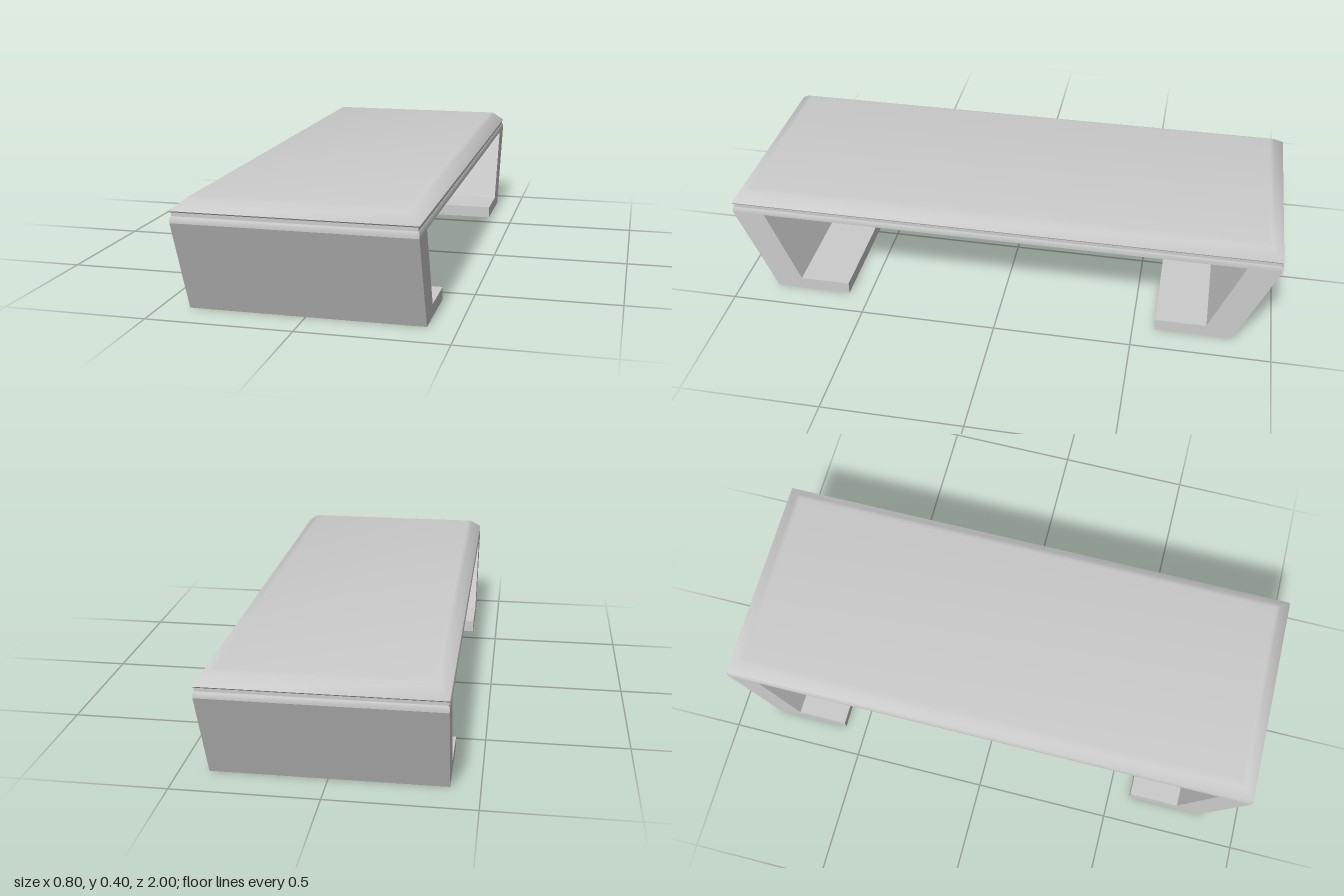
import * as THREE from 'three';
import { toCreasedNormals } from 'three/addons/utils/BufferGeometryUtils.js';

const grey = new THREE.MeshStandardMaterial({ color: 0xcccccc });

// Closed solid lofted through rectangles [halfX, y, halfZ], listed bottom to top
function loft(rings, crease) {
  const pos = [], index = [];
  for (const [x, y, z] of rings) pos.push(-x, y, z, x, y, z, x, y, -z, -x, y, -z);
  for (let r = 0; r < rings.length - 1; r++) {
    for (let i = 0; i < 4; i++) {
      const a = r * 4 + i, b = r * 4 + (i + 1) % 4;
      index.push(a, b, b + 4, a, b + 4, a + 4);
    }
  }
  const t = (rings.length - 1) * 4;
  index.push(0, 2, 1, 0, 3, 2, t, t + 1, t + 2, t, t + 2, t + 3);
  const g = new THREE.BufferGeometry();
  g.setAttribute('position', new THREE.Float32BufferAttribute(pos, 3));
  g.setIndex(index);
  g.computeVertexNormals();
  return toCreasedNormals(g, crease);
}

function add(group, name, geometry) {
  const mesh = new THREE.Mesh(geometry, grey);
  mesh.name = name;
  group.add(mesh);
  return mesh;
}

export function createModel() {
  const group = new THREE.Group();
  group.name = 'bench';

  // Flat board with a softened upper edge
  add(group, 'seatBoard', loft([
    [0.4, 0.325, 1], [0.4, 0.34, 1], [0.397, 0.347, 0.996],
  ], 0.7));

  // Recessed strip between board and cushion
  add(group, 'seam', loft([[0.396, 0.346, 0.994], [0.396, 0.361, 0.994]], 0.1));

  // Cushion with sloping sides and a gently rounded top edge
  add(group, 'cushion', loft([
    [0.398, 0.36, 0.997], [0.4, 0.364, 1], [0.363, 0.397, 0.96],
    [0.356, 0.401, 0.953], [0.343, 0.404, 0.942],
  ], 1.1));

  // Slanted end panel with an inward foot, in (z, y), mirrored front to back
  const profile = new THREE.Shape([
    [0.86, 0], [1, 0.325], [0.88, 0.325], [0.765, 0.045], [0.58, 0.045], [0.58, 0],
  ].map(([z, y]) => new THREE.Vector2(z, y)));
  const leg = new THREE.ExtrudeGeometry(profile, { depth: 0.8, bevelEnabled: false });
  leg.rotateY(-Math.PI / 2).translate(0.4, 0, 0);
  add(group, 'frontLeg', leg);
  add(group, 'backLeg', leg).rotation.y = Math.PI;

  return group;
}
